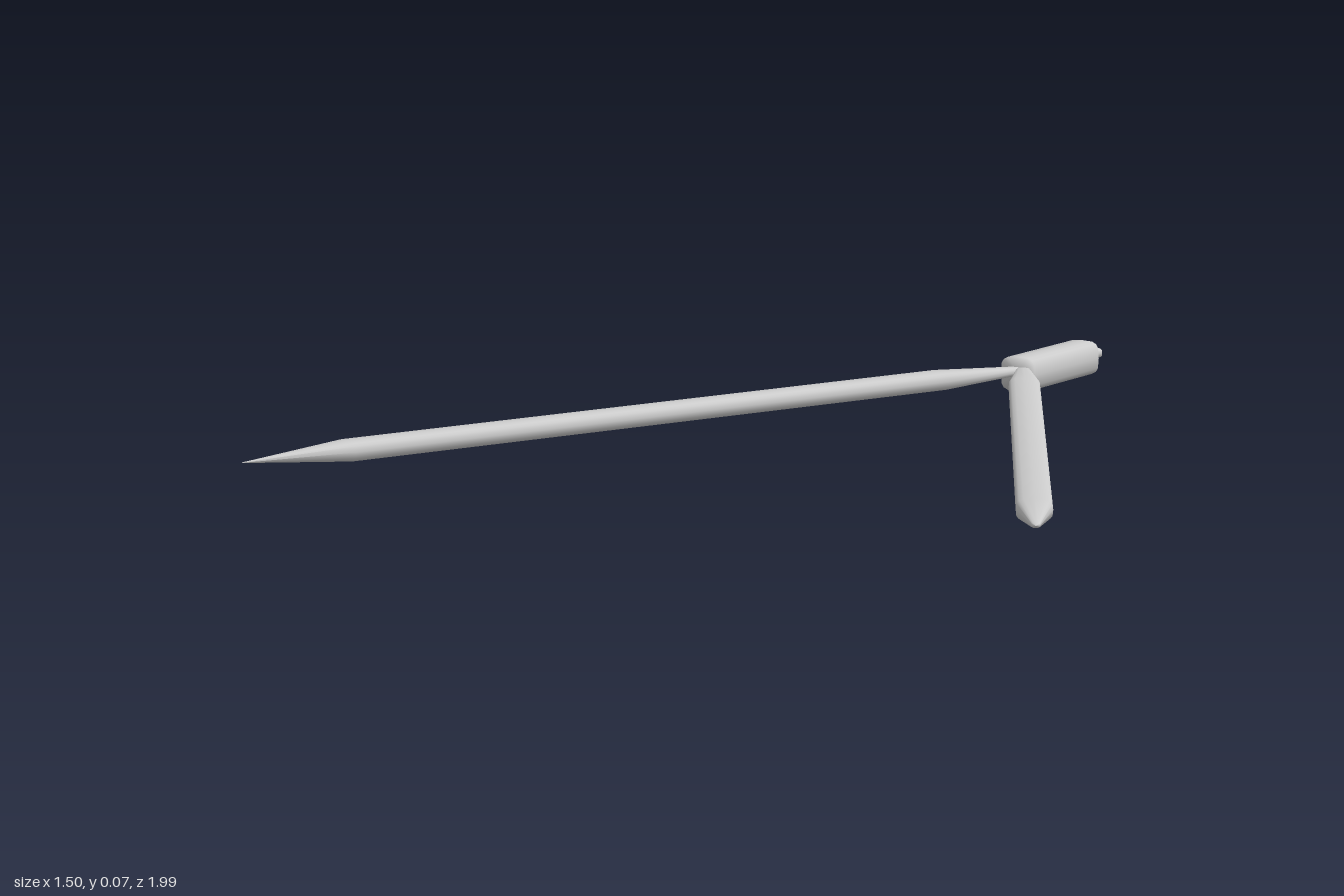
import * as THREE from 'three';

const material = new THREE.MeshStandardMaterial({ color: 0xcccccc });
const HEAD_X = -0.092;

// A bar of rounded, squarish section from start to end ([x, z] each).
// Stations are [distance along the bar, half width]; flatness is height / width.
function makeBar(name, start, end, y, flatness, stations) {
  const profile = stations.map(([d, r]) => new THREE.Vector2(r, d));
  const geometry = new THREE.LatheGeometry(profile, 16);
  const position = geometry.attributes.position;
  const square = (v, r) => (r > 0 ? r * Math.sign(v) * Math.abs(v / r) ** 0.55 : 0);
  for (let i = 0; i < position.count; i++) {
    const px = position.getX(i), pz = position.getZ(i);
    const r = Math.hypot(px, pz);
    position.setX(i, square(px, r));
    position.setZ(i, square(pz, r));
  }
  geometry.rotateX(Math.PI / 2);
  geometry.scale(1, flatness, 1);
  const bar = new THREE.Mesh(geometry, material);
  bar.name = name;
  bar.position.set(start[0], y, start[1]);
  bar.rotation.y = Math.atan2(end[0] - start[0], end[1] - start[1]);
  return bar;
}

export function createModel() {
  const group = new THREE.Group();
  group.name = 'drawingCompass';

  // Hinge head
  group.add(makeBar('hingeHead', [HEAD_X, -0.94], [HEAD_X, -0.66], 0.035, 0.91, [
    [0, 0], [0, 0.0385], [0.28, 0.0385], [0.28, 0],
  ]));

  // Grip pin behind the head
  group.add(makeBar('gripPin', [HEAD_X, -1], [HEAD_X, -0.93], 0.037, 0.65, [
    [0, 0], [0, 0.0155], [0.07, 0.0155], [0.07, 0],
  ]));

  // Needle leg: long, ends in a sharp point
  group.add(makeBar('needleLeg', [-0.098, -0.66], [-0.747, 0.99], 0.041, 0.6, [
    [-0.01, 0], [-0.01, 0.013], [0.195, 0.031], [1.56, 0.031], [1.773, 0.001], [1.774, 0],
  ]));

  // Pencil leg: shorter, ends in a small blunt tip
  group.add(makeBar('pencilLeg', [-0.08, -0.66], [0.743, 0.84], 0.041, 0.6, [
    [-0.01, 0], [-0.01, 0.013], [0.213, 0.031], [1.57, 0.031], [1.713, 0.007], [1.717, 0],
  ]));

  return group;
}
